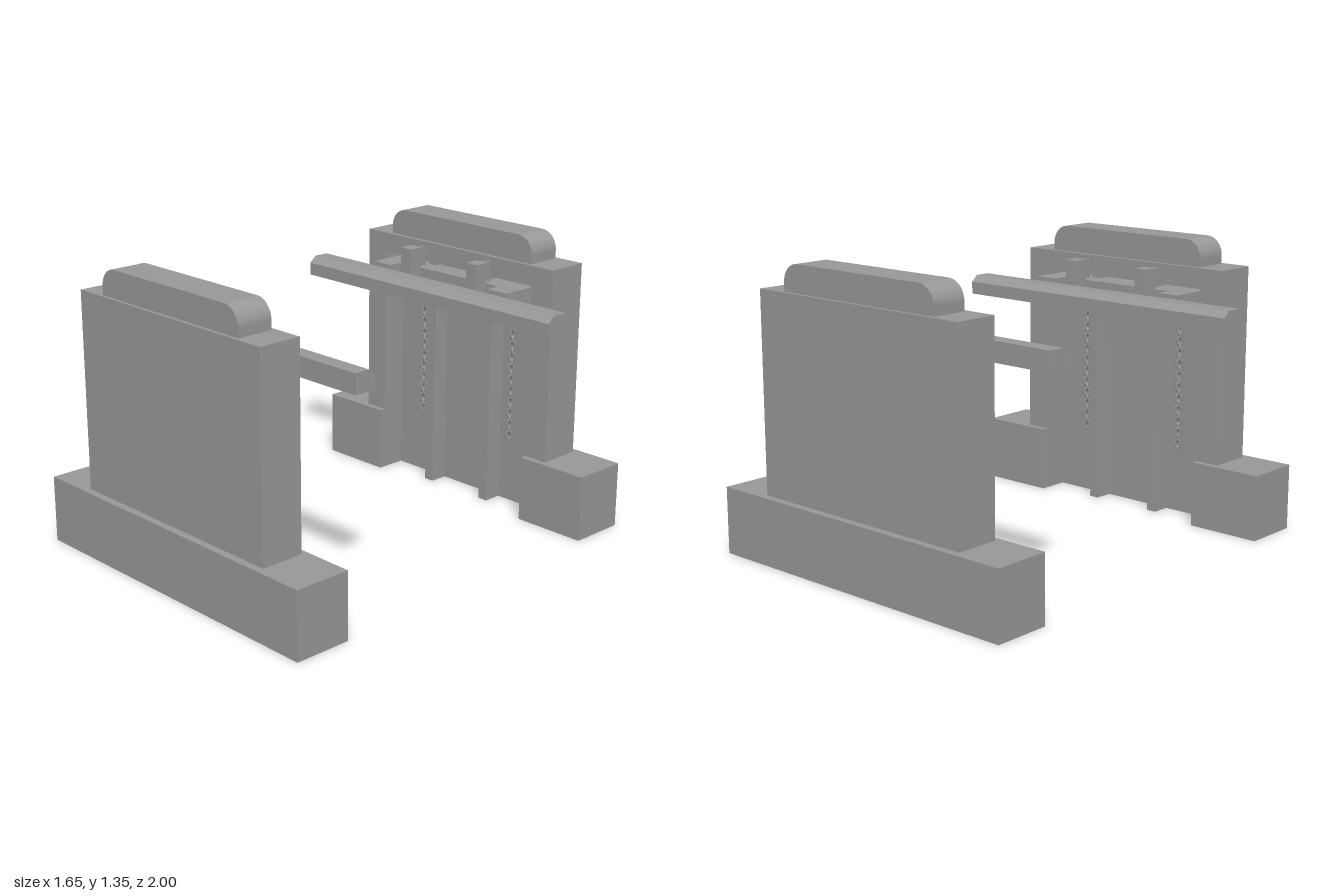
import * as THREE from 'three';

const grey = new THREE.MeshStandardMaterial({ color: 0x999999, side: THREE.DoubleSide });
grey.name = 'plain grey';

function add(group, name, geometry) {
  const mesh = new THREE.Mesh(geometry, grey);
  mesh.name = name;
  group.add(mesh);
  return mesh;
}

// Box given by its limits on each axis
function box(group, name, x0, x1, y0, y1, z0, z1) {
  const mesh = add(group, name, new THREE.BoxGeometry(x1 - x0, y1 - y0, z1 - z0));
  mesh.position.set((x0 + x1) / 2, (y0 + y1) / 2, (z0 + z1) / 2);
  return mesh;
}

// Plan outline given as [x, z] points, raised from y0 to y1
function plan(points, y0, y1) {
  const shape = new THREE.Shape(points.map(([x, z]) => new THREE.Vector2(x, -z)));
  const g = new THREE.ExtrudeGeometry(shape, { depth: y1 - y0, bevelEnabled: false });
  return g.rotateX(-Math.PI / 2).translate(0, y0, 0);
}

// Rectangle with a notch in its inner side
function notched(half, inner, outer, notchHalf, notchZ) {
  return [[-half, outer], [half, outer], [half, inner], [notchHalf, inner],
    [notchHalf, notchZ], [-notchHalf, notchZ], [-notchHalf, inner], [-half, inner]];
}

// Drop the triangles lying on the ground, leaving a hollow shell
function openBottom(geometry) {
  const p = geometry.attributes.position;
  const kept = [];
  for (let i = 0; i < p.count; i += 3) {
    if (Math.max(p.getY(i), p.getY(i + 1), p.getY(i + 2)) < 1e-4) continue;
    for (let k = i; k < i + 3; k++) kept.push(p.getX(k), p.getY(k), p.getZ(k));
  }
  const g = new THREE.BufferGeometry();
  g.setAttribute('position', new THREE.Float32BufferAttribute(kept, 3));
  g.computeVertexNormals();
  return g;
}

// Chain of alternating links hanging in the recess
function chain(group, x, z, y0, y1) {
  const links = new THREE.Group();
  links.name = 'chain';
  const pitch = 0.028;
  const geometry = new THREE.TorusGeometry(0.014, 0.005, 5, 10).scale(1, 1.35, 1);
  for (let i = 0; y0 + i * pitch < y1; i++) {
    const link = add(links, 'chainLink', geometry);
    link.position.set(x, y0 + i * pitch, z);
    link.rotation.y = Math.PI / 4 + (i % 2) * Math.PI / 2;
  }
  group.add(links);
}

// One tower; its inner side faces -z
function createTower() {
  const tower = new THREE.Group();

  // Hollow plinth and the column with a tall recess
  add(tower, 'plinth', openBottom(plan(notched(0.825, 0.73, 1, 0.465, 0.88), 0, 0.31)));
  add(tower, 'column', plan(notched(0.585, 0.76, 0.965, 0.465, 0.88), 0.31, 1.13));
  box(tower, 'lintel', -0.585, 0.585, 1.13, 1.225, 0.76, 0.965);
  box(tower, 'recessPanel', -0.155, 0.155, 0.325, 1.13, 0.872, 0.881);

  // Cap with rounded upper corners
  const w = 0.443, h = 0.125, r = 0.085;
  const cap = new THREE.Shape();
  cap.moveTo(-w, 0);
  cap.lineTo(w, 0);
  cap.lineTo(w, h - r);
  cap.absarc(w - r, h - r, r, 0, Math.PI / 2, false);
  cap.absarc(-w + r, h - r, r, Math.PI / 2, Math.PI, false);
  cap.closePath();
  const capGeometry = new THREE.ExtrudeGeometry(cap, { depth: 0.17, bevelEnabled: false, curveSegments: 12 });
  add(tower, 'cap', capGeometry.translate(0, 1.225, 0.78));

  // Carriage: cross beam with two arms reaching inward
  add(tower, 'carriage', plan([[-0.425, 0.85], [0.425, 0.85], [0.425, 0.635], [0.313, 0.635],
    [0.313, 0.708], [-0.313, 0.708], [-0.313, 0.635], [-0.425, 0.635]], 0.955, 1.11));

  for (const s of [-1, 1]) {
    // Guide rail, post with its web, and chain
    box(tower, 'guideRail', s * 0.18 - 0.025, s * 0.18 + 0.025, 0, 1.13, 0.79, 0.88);
    box(tower, 'post', s * 0.21 - 0.033, s * 0.21 + 0.033, 0.955, 1.21, 0.635, 0.705);
    box(tower, 'postWeb', s * 0.208 - 0.006, s * 0.208 + 0.006, 1.1, 1.205, 0.705, 0.765);
    chain(tower, s * 0.285, 0.852, 0.345, 1.1);
  }

  // Chamfered cross bar: profile in z and y, swept along x
  const bar = new THREE.Shape([[0.635, 1], [0.635, 1.09], [0.56, 1.09], [0.525, 1.06], [0.525, 1]]
    .map(([z, y]) => new THREE.Vector2(-z, y)));
  const barGeometry = new THREE.ExtrudeGeometry(bar, { depth: 1.53, bevelEnabled: false });
  add(tower, 'crossBar', barGeometry.rotateY(Math.PI / 2).translate(-0.765, 0, 0));

  return tower;
}

export function createModel() {
  const model = new THREE.Group();
  model.name = 'pairedTowers';
  const front = createTower();
  front.name = 'frontTower';
  const rear = createTower();
  rear.name = 'rearTower';
  rear.rotation.y = Math.PI;
  model.add(front, rear);
  return model;
}
